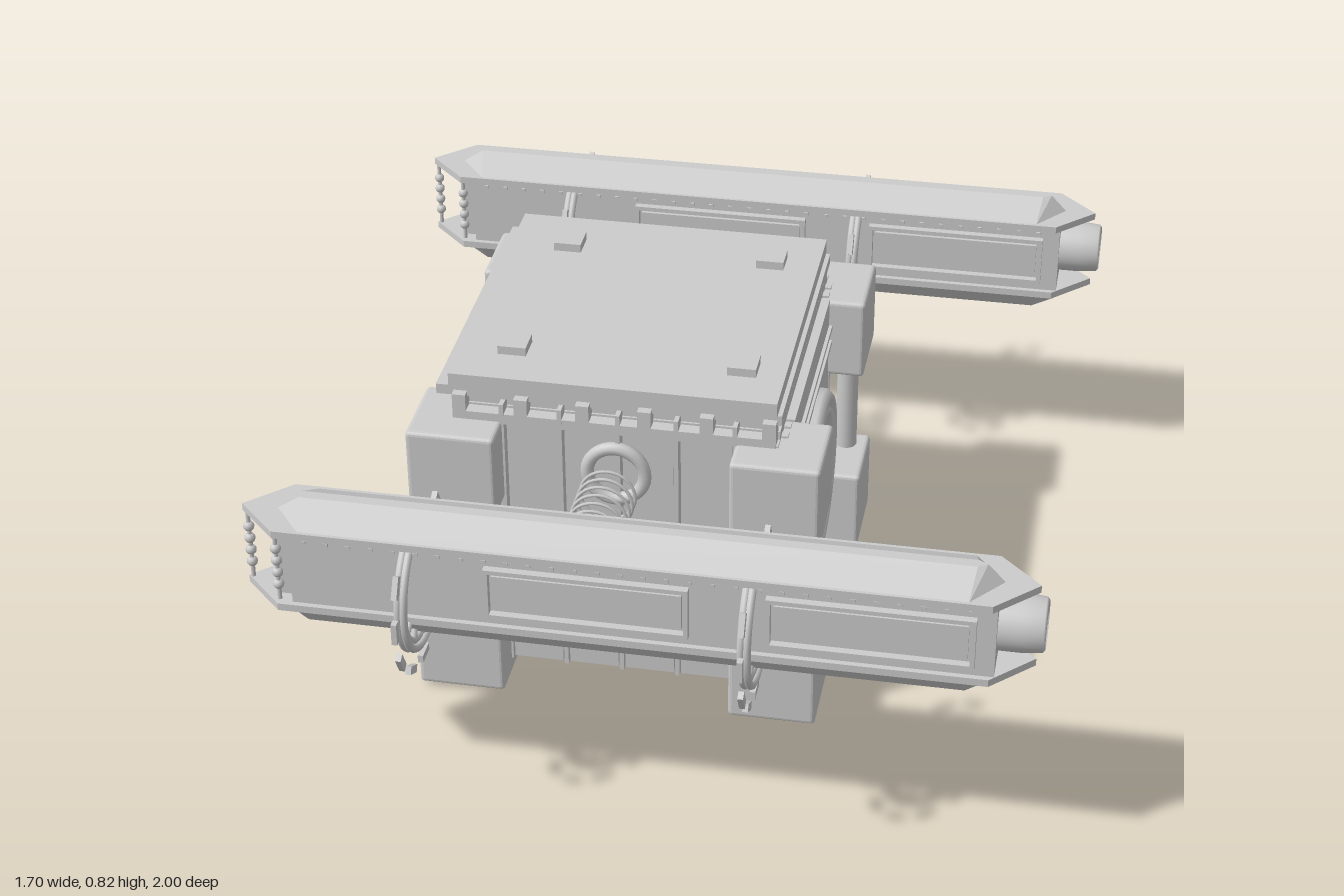
import * as THREE from 'three';
import { RoundedBoxGeometry } from 'three/addons/geometries/RoundedBoxGeometry.js';

const flat = new THREE.MeshStandardMaterial({ color: 0xcccccc, flatShading: true, side: THREE.DoubleSide });
const smooth = new THREE.MeshStandardMaterial({ color: 0xcccccc, side: THREE.DoubleSide });

function add(parent, name, geometry, x = 0, y = 0, z = 0, material = flat) {
  const mesh = new THREE.Mesh(geometry, material);
  mesh.name = name;
  mesh.position.set(x, y, z);
  parent.add(mesh);
  return mesh;
}

// Box given by its limits on each axis
function box(parent, name, x0, x1, y0, y1, z0, z1) {
  return add(parent, name, new THREE.BoxGeometry(x1 - x0, y1 - y0, z1 - z0),
    (x0 + x1) / 2, (y0 + y1) / 2, (z0 + z1) / 2);
}

// Cylinder running between two points
function rod(parent, name, a, b, r, sides = 16) {
  const p = new THREE.Vector3(...a), q = new THREE.Vector3(...b);
  const mid = p.clone().add(q).multiplyScalar(0.5);
  const mesh = add(parent, name, new THREE.CylinderGeometry(r, r, p.distanceTo(q), sides), mid.x, mid.y, mid.z, smooth);
  mesh.quaternion.setFromUnitVectors(new THREE.Vector3(0, 1, 0), q.sub(p).normalize());
  return mesh;
}

// Six-sided pointed plan at one height: [x0, x1, halfWidth, tipLength, y]
const ring = ([x0, x1, w, t, y]) => [
  [x0, y, 0], [x0 + t, y, w], [x1 - t, y, w], [x1, y, 0], [x1 - t, y, -w], [x0 + t, y, -w]];

// Solid between a lower and an upper pointed plan
function loft(lower, upper) {
  const a = ring(lower), b = ring(upper), pos = [];
  for (let i = 0; i < 6; i++) {
    const j = (i + 1) % 6;
    pos.push(...a[i], ...a[j], ...b[j], ...a[i], ...b[j], ...b[i]);
    if (i > 0 && i < 5) pos.push(...b[0], ...b[i], ...b[j], ...a[0], ...a[j], ...a[i]);
  }
  const g = new THREE.BufferGeometry();
  g.setAttribute('position', new THREE.Float32BufferAttribute(pos, 3));
  g.computeVertexNormals();
  return g;
}

function makeBody() {
  const g = new THREE.Group();
  g.name = 'body';
  box(g, 'core', -0.5, 0.225, 0.06, 0.72, -0.355, 0.355);

  // Corner blocks, posts and feet
  for (const x of [-0.49, 0.23]) for (const s of [-1, 1]) {
    const z = s * 0.363;
    for (const y of [0.11, 0.595]) add(g, 'cornerBlock', new RoundedBoxGeometry(0.2, 0.2, 0.2, 2, 0.01), x, y, z);
    const px = x < 0 ? -0.55 : 0.275;
    rod(g, 'cornerPost', [px, 0.2, s * 0.415], [px, 0.5, s * 0.415], 0.026);
    add(g, 'foot', new THREE.CylinderGeometry(0.02, 0.02, 0.02, 16), x, 0.01, z);
  }

  // Vertical panels with grooves and ribs on the long sides
  for (const s of [-1, 1]) {
    const side = new THREE.Group();
    side.name = 'sidePanels';
    if (s < 0) side.scale.z = -1;
    g.add(side);
    for (let i = 0; i < 4; i++) {
      const x = -0.39 + i * 0.13;
      box(side, 'panel', x + 0.008, x + 0.122, 0.15, 0.69, 0.35, 0.372);
      box(side, 'lowerPanel', x + 0.008, x + 0.122, 0.055, 0.125, 0.35, 0.382);
    }
    for (let i = 0; i < 5; i++) box(side, 'rib', -0.395 + i * 0.13, -0.385 + i * 0.13, 0.05, 0.74, 0.35, 0.386);
    box(side, 'sill', -0.39, 0.13, 0.132, 0.143, 0.35, 0.386);
    box(side, 'topRail', -0.5, 0.22, 0.69, 0.715, 0.34, 0.385);
    for (const x of [-0.5, 0.2]) box(side, 'edgePillar', x, x + 0.025, 0.06, 0.7, 0.34, 0.382);
    for (let i = 0; i < 6; i++) box(side, 'lidTab', -0.5 + i * 0.138, -0.47 + i * 0.138, 0.715, 0.755, 0.35, 0.385);
    // Coupling flange and the row of hoops reaching toward the pontoon
    add(side, 'couplingFlange', new THREE.TorusGeometry(0.065, 0.015, 10, 32), -0.135, 0.59, 0.385, smooth);
    for (let i = 0; i < 6; i++)
      add(side, 'couplingHoop', new THREE.TorusGeometry(0.061, 0.004, 6, 32), -0.135, 0.59, (s > 0 ? 0.473 : 0.453) + i * 0.031, smooth);
  }

  // Window wall with trim and a domed porthole
  box(g, 'windowWall', 0.2, 0.245, 0.05, 0.7, -0.27, 0.27);
  for (const y of [0.105, 0.14, 0.175, 0.58, 0.62]) box(g, 'wallTrim', 0.24, 0.253, y, y + 0.012, -0.265, 0.265);
  for (const s of [-1, 1]) for (const z of [0.29, 0.33]) box(g, 'wallPillar', 0.2, 0.24, 0.06, 0.7, s * z - 0.01, s * z + 0.01);
  const frame = [[0.205, -0.03], [0.205, 0.02], [0.192, 0.035], [0.178, 0.035], [0.174, 0.024],
    [0.165, 0.024], [0.16, 0.034], [0.143, 0.03], [0.13, 0.01], [0.12, 0.005]].map(p => new THREE.Vector2(...p));
  const porthole = new THREE.Group();
  porthole.name = 'porthole';
  porthole.position.set(0.245, 0.38, 0);
  porthole.rotation.z = -Math.PI / 2;
  g.add(porthole);
  add(porthole, 'portholeFrame', new THREE.LatheGeometry(frame, 48), 0, 0, 0, smooth);
  add(porthole, 'portholeDome', new THREE.SphereGeometry(0.122, 40, 12, 0, Math.PI * 2, 0, Math.PI / 2), 0, 0.002, 0, smooth).scale.y = 0.25;

  // Horizontal slats on the opposite wall and beams below
  box(g, 'slatWall', -0.515, -0.49, 0.05, 0.7, -0.3, 0.3);
  for (let i = 0; i < 6; i++) box(g, 'wallSlat', -0.535, -0.51, 0.09 + i * 0.11, 0.12 + i * 0.11, -0.31, 0.31);
  for (let i = 0; i < 6; i++) box(g, 'floorBeam', -0.5, 0.225, 0.04, 0.065, -0.29 + i * 0.11, -0.26 + i * 0.11);
  for (const x of [-0.5, 0.195]) box(g, 'floorEdge', x, x + 0.03, 0.04, 0.065, -0.35, 0.35);

  // Stepped lid with pads
  box(g, 'lidNeck', -0.5, 0.21, 0.7, 0.745, -0.35, 0.35);
  box(g, 'lidLip', -0.54, 0.23, 0.742, 0.766, -0.365, 0.365);
  box(g, 'lid', -0.51, 0.22, 0.766, 0.8, -0.372, 0.372);
  for (const [x, z] of [[-0.37, -0.24], [0.11, -0.24], [-0.39, 0.24], [0.125, 0.24]])
    box(g, 'lidPad', x - 0.032, x + 0.032, 0.795, 0.82, z - 0.032, z + 0.032);
  return g;
}

function makePontoon() {
  const g = new THREE.Group();
  g.name = 'pontoon';

  // Roof, deck plates, middle hull and keel
  add(g, 'roof', loft([-0.775, 0.76, 0.088, 0.07, 0.698], [-0.74, 0.72, 0.012, 0.02, 0.74]));
  for (const y of [0.684, 0.5])
    add(g, 'deckPlate', loft([-0.85, 0.83, 0.09, 0.09, y], [-0.85, 0.83, 0.09, 0.09, y + 0.017]));
  box(g, 'hull', -0.73, 0.75, 0.51, 0.69, -0.078, 0.078);
  box(g, 'hullEnd', -0.765, -0.72, 0.51, 0.69, -0.05, 0.05);
  add(g, 'keel', loft([-0.76, 0.74, 0.045, 0.05, 0.45], [-0.81, 0.79, 0.088, 0.09, 0.502]));

  // Framed panels, seams and rivets on both flanks
  for (const s of [-1, 1]) {
    const flank = new THREE.Group();
    flank.name = 'flank';
    flank.scale.z = s;
    g.add(flank);
    for (const x of [-0.31, 0.28]) {
      const w = x + 0.43;
      box(flank, 'panelFrame', x, w, 0.652, 0.662, 0.07, 0.095);
      box(flank, 'panelFrame', x, w, 0.54, 0.55, 0.07, 0.095);
      for (const e of [x, w - 0.01]) box(flank, 'panelFrame', e, e + 0.01, 0.54, 0.662, 0.07, 0.095);
      box(flank, 'panel', x + 0.015, w - 0.015, 0.56, 0.642, 0.07, 0.086);
    }
    for (let i = 0; i < 30; i++) box(flank, 'rivet', -0.7 + i * 0.048, -0.69 + i * 0.048, 0.67, 0.678, 0.075, 0.083);
  }

  // Bead columns at the tail
  for (const [x, z] of [[-0.84, 0], [-0.76, 0.07], [-0.76, -0.07]]) {
    rod(g, 'beadRod', [x, 0.51, z], [x, 0.69, z], 0.005, 8);
    for (let i = 0; i < 4; i++) add(g, 'bead', new THREE.SphereGeometry(0.012, 12, 8), x, 0.555 + i * 0.03, z, smooth);
  }

  // Nose lamp
  const lamp = [[0, 0.08], [0.03, 0.082], [0.036, 0.07], [0.045, 0.07], [0.052, 0.1], [0.058, 0.095],
    [0.062, 0.05], [0.062, 0]].map(p => new THREE.Vector2(...p));
  add(g, 'noseLamp', new THREE.LatheGeometry(lamp, 28), 0.748, 0.605, 0, smooth).rotation.z = -Math.PI / 2;

  // Ring assemblies with struts and outer dashes
  for (const x of [-0.475, 0.245]) {
    const wheel = new THREE.Group();
    wheel.name = 'ringAssembly';
    wheel.position.set(x, 0.55, 0);
    g.add(wheel);
    for (const [r, t, dx] of [[0.145, 0.009, -0.006], [0.145, 0.009, 0.006], [0.128, 0.008, 0]])
      add(wheel, 'ring', new THREE.TorusGeometry(r, t, 8, 48), dx, 0, 0, smooth).rotation.y = Math.PI / 2;
    for (const a of [-150, -120, -90, -60, -30]) {
      const c = Math.cos(a * Math.PI / 180), s = Math.sin(a * Math.PI / 180);
      rod(wheel, 'strut', [0, s * 0.06, c * 0.06], [0, s * 0.135, c * 0.135], 0.007, 8);
    }
    for (let i = 0; i < 9; i++) {
      const a = (30 - i * 30) * Math.PI / 180;
      const dash = add(wheel, 'dash', new THREE.BoxGeometry(0.012, 0.018, 0.05), 0, Math.sin(a) * 0.19, Math.cos(a) * 0.19);
      dash.rotation.x = Math.PI / 2 - a;
    }
  }
  return g;
}

export function createModel() {
  const model = new THREE.Group();
  model.name = 'submersible';
  model.add(makeBody());
  for (const z of [-0.8, 0.8]) {
    const pontoon = makePontoon();
    pontoon.position.z = z;
    model.add(pontoon);
  }
  return model;
}
